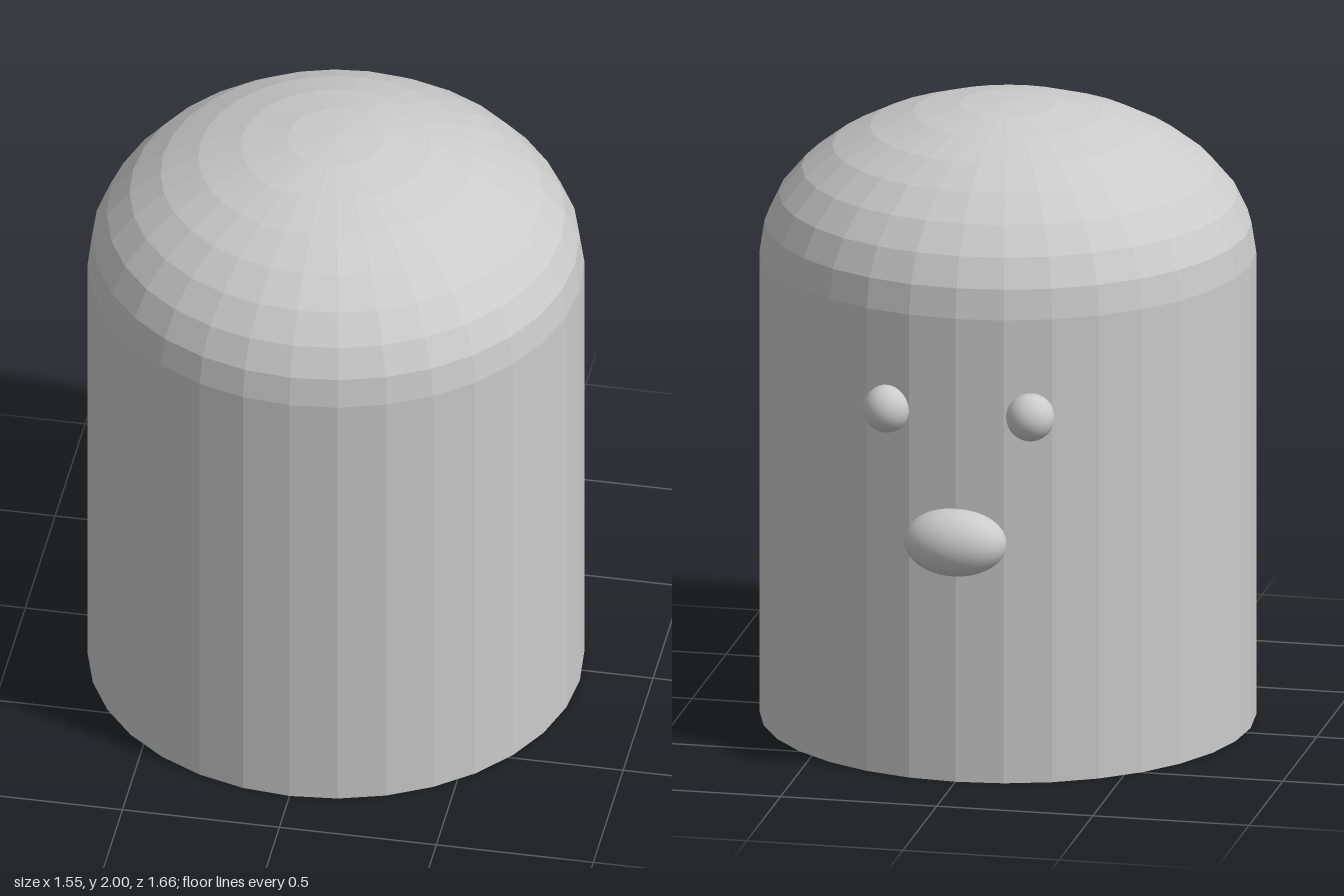
import * as THREE from 'three';

const SIDES = 32;
const RADIUS = 0.777;
const WALL = 1.51;
const DOME = 0.49;
const CENTRE_Z = 0.053;

export function createModel() {
  const group = new THREE.Group();
  const flat = new THREE.MeshStandardMaterial({ color: 0xcccccc, flatShading: true });
  const smooth = new THREE.MeshStandardMaterial({ color: 0xcccccc });

  function add(name, geometry, material, x, y, z) {
    const mesh = new THREE.Mesh(geometry, material);
    mesh.name = name;
    mesh.position.set(x, y, z);
    group.add(mesh);
    return mesh;
  }

  // Closed base, straight wall and flattened dome in one faceted profile
  const profile = [new THREE.Vector2(0, 0), new THREE.Vector2(RADIUS, 0)];
  for (let i = 0; i <= 8; i++) {
    const a = (i / 8) * Math.PI / 2;
    profile.push(new THREE.Vector2(i === 8 ? 0 : RADIUS * Math.cos(a), WALL + DOME * Math.sin(a)));
  }
  add('body', new THREE.LatheGeometry(profile, SIDES), flat, 0, 0, CENTRE_Z);

  // Face on the back: two round eyes and a wide oval mouth
  const ball = new THREE.SphereGeometry(1, 32, 16);
  add('leftEye', ball, smooth, 0.226, 1.195, -0.692).scale.setScalar(0.076);
  add('rightEye', ball, smooth, -0.233, 1.195, -0.692).scale.setScalar(0.076);
  add('mouth', ball, smooth, 0, 0.783, -0.727).scale.set(0.164, 0.108, 0.106);

  return group;
}
